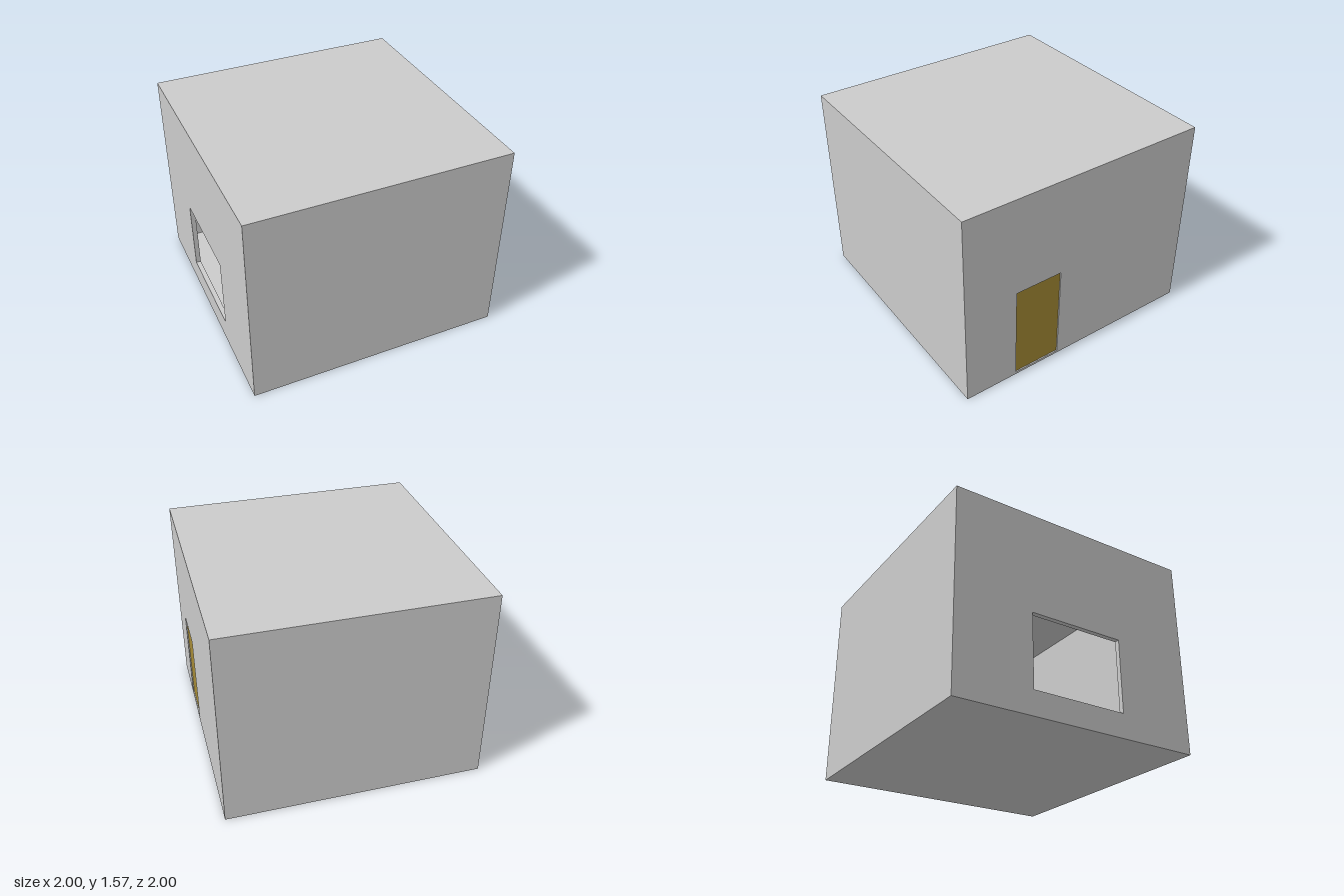
import * as THREE from 'three';
import { mergeGeometries } from 'three/addons/utils/BufferGeometryUtils.js';

const HEIGHT = 1.574, WALL = 0.038, SLAB = 0.019;
const IN = 1 - WALL; // inner half width of the room

// Openings in the two side walls: centre z, width, bottom, top
const DOOR = { z: 0.383, w: 0.385, y0: SLAB, y1: 0.785 };
const WINDOW = { z: 0, w: 0.762, y0: 0.19, y1: 0.766 };

// Four-sided tube along x; inward turns the faces towards its middle
function tube(width, y0, y1, depth, x, z, inward) {
  const g = new THREE.BoxGeometry(width, y1 - y0, depth);
  const index = Array.from(g.index.array).slice(12); // drop both x ends
  g.setIndex(inward ? index.reverse() : index);
  g.clearGroups();
  g.computeVertexNormals();
  return g.translate(x, (y0 + y1) / 2, z);
}

function rectangle(path, a0, a1, y0, y1) {
  path.moveTo(a0, y0).lineTo(a1, y0).lineTo(a1, y1).lineTo(a0, y1).closePath();
  return path;
}

// Flat wall face at x, facing dir along x, with one opening cut out
function face(x, dir, half, y0, y1, o) {
  const shape = rectangle(new THREE.Shape(), -half, half, y0, y1);
  const a = -dir * o.z;
  // an opening that reaches the inner floor becomes a notch
  if (o.y0 <= y0) {
    shape.curves = [];
    shape.moveTo(-half, y0).lineTo(a - o.w / 2, y0).lineTo(a - o.w / 2, o.y1)
      .lineTo(a + o.w / 2, o.y1).lineTo(a + o.w / 2, y0).lineTo(half, y0)
      .lineTo(half, y1).lineTo(-half, y1).closePath();
  } else {
    shape.holes.push(rectangle(new THREE.Path(), a - o.w / 2, a + o.w / 2, o.y0, o.y1));
  }
  return new THREE.ShapeGeometry(shape).rotateY(dir * Math.PI / 2).translate(x, 0, 0);
}

export function createModel() {
  const group = new THREE.Group();
  const add = (name, geometry, color) => {
    const mesh = new THREE.Mesh(geometry, new THREE.MeshStandardMaterial({ color }));
    mesh.name = name;
    group.add(mesh);
    return mesh;
  };

  // Hollow room: outer and inner skins, then the pierced side walls
  const parts = [
    tube(2, 0, HEIGHT, 2, 0, 0, false),
    tube(2 * IN, SLAB, HEIGHT - SLAB, 2 * IN, 0, 0, true),
  ];
  for (const [dir, o] of [[1, DOOR], [-1, WINDOW]]) {
    parts.push(
      face(dir, dir, 1, 0, HEIGHT, o),
      face(dir * IN, -dir, IN, SLAB, HEIGHT - SLAB, o),
      tube(WALL, o.y0, o.y1, o.w, dir * (1 - WALL / 2), o.z, true), // reveal
    );
  }
  add('roomShell', mergeGeometries(parts), 0xcccccc);

  // Door leaf, set in the middle of the wall thickness
  const door = add('door', new THREE.BoxGeometry(WALL / 2, DOOR.y1 - DOOR.y0, DOOR.w), 0xa58a35);
  door.position.set(1 - WALL / 2, (DOOR.y0 + DOOR.y1) / 2, DOOR.z);

  return group;
}
